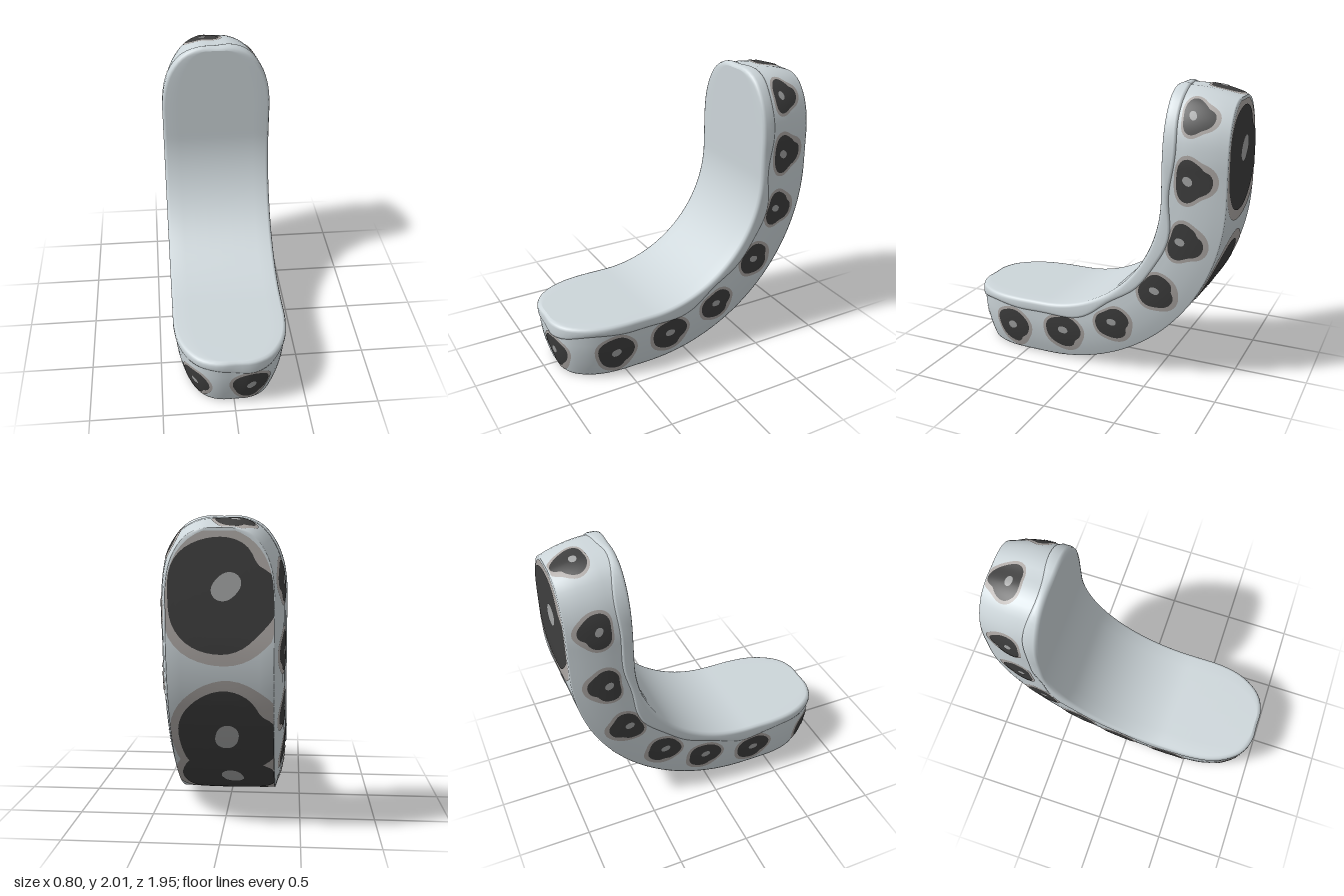
import * as THREE from 'three';
import { mergeGeometries, mergeVertices } from 'three/addons/utils/BufferGeometryUtils.js';

const material = (name, color) => new THREE.MeshStandardMaterial({ name, color });

// Lengthwise layout: flat seat, quarter bend, upright back
const SEAT = 0.65, BACK = 0.71, MID_R = 1.08, INNER_R = 0.87, DEPTH = 0.42;
const BEND = MID_R * Math.PI / 2, END = BEND + BACK, N = 160;

// Place a point: l along the seat, x across, d below the sitting surface
function bend(l, x, d) {
  const r = INNER_R + d, a = THREE.MathUtils.clamp(l / MID_R, 0, Math.PI / 2);
  const before = Math.min(l, 0), after = Math.max(l - BEND, 0);
  return new THREE.Vector3(x, 1.29 - r * Math.cos(a) + after, 0.32 - r * Math.sin(a) - before);
}

// Closed rounded outline of the unrolled seat, starting at the front centre
const corner = [[0, 0.12], [0.05, 0.24], [0.16, 0.33], [0.29, 0.38], [0.45, 0.4], [0.55, 0.4]];
const half = [
  ...corner.map(([e, x]) => [e - SEAT, x]), [0.4, 0.4], [1, 0.4], [1.5, 0.4],
  ...corner.slice().reverse().map(([e, x]) => [END - e, x]),
];
const loop = [[-SEAT, 0], ...half, [END, 0], ...half.slice().reverse().map(([l, x]) => [l, -x])];
const outline = new THREE.CatmullRomCurve3(loop.map(([l, x]) => new THREE.Vector3(l, x, 0)), true);
outline.arcLengthDivisions = 1000;
const PERIMETER = outline.getLength();

// Outline position t, drawn inwards by inset
function rim(t, inset, d) {
  const p = outline.getPointAt(((t % 1) + 1) % 1);
  const l = p.x + inset * (Math.max(0, 1 - (p.x + SEAT) / 0.45) - Math.max(0, 1 - (END - p.x) / 0.45));
  return bend(l, p.y * (1 - inset / 0.4), d);
}
const taper = d => 0.01 + 0.065 * Math.max(0, (d - 0.06) / 0.36) ** 2;

// Grid surface; its front is on the side of du x dv
function grid(nu, nv, fn) {
  const pos = [], index = [];
  for (let i = 0; i <= nu; i++) for (let j = 0; j <= nv; j++) pos.push(...fn(i / nu, j / nv).toArray());
  for (let i = 0; i < nu; i++) for (let j = 0; j < nv; j++) {
    const a = i * (nv + 1) + j, b = a + nv + 1;
    index.push(a, b, b + 1, a, b + 1, a + 1);
  }
  const g = new THREE.BufferGeometry();
  g.setAttribute('position', new THREE.Float32BufferAttribute(pos, 3));
  g.setIndex(index);
  return g;
}

function smooth(parts) {
  const g = mergeVertices(mergeGeometries(parts), 1e-4);
  g.computeVertexNormals();
  return g;
}

// Flat cap spanning the outline from side to side
const cap = (inset, d, sign) => grid(N / 2, 8, (u, v) => {
  const t = u / 2;
  return rim(sign * t, inset, d).lerp(rim(-sign * t, inset, d), 1 - v);
});

// Tapered shell
function shellGeometry() {
  const depths = [0.42, 0.41, 0.36, 0.3, 0.22, 0.14, 0.03];
  const side = grid(N, depths.length - 1, (t, v) => {
    const d = depths[Math.round(v * (depths.length - 1))];
    return rim(t, taper(d), d);
  });
  return smooth([side, cap(taper(DEPTH), DEPTH, 1)]);
}

// Soft pad with a wavy lower edge
function padGeometry() {
  const edge = t => 0.085 + 0.016 * Math.sin(14 * Math.PI * t + 1) + 0.01 * Math.sin(26 * Math.PI * t);
  const profile = t => [[0.025, edge(t)], [0.006, edge(t) - 0.004], [0, edge(t) - 0.02],
    [0, 0.025], [0.007, 0.007], [0.025, 0]];
  const side = grid(N, 5, (t, v) => rim(t, ...profile(t)[Math.round(v * 5)]));
  return smooth([side, cap(0.025, 0, -1)]);
}

// Surfaces that carry the spots
const sideSurface = (u, v) => {
  const d = THREE.MathUtils.clamp(-v, 0.08, 0.412);
  return rim(u / PERIMETER, taper(d), d);
};
const underSurface = (u, v) => {
  const l = THREE.MathUtils.clamp(u, -SEAT + 0.09, END - 0.09);
  const e = Math.min(l + SEAT - 0.075, END - 0.075 - l);
  const w = 0.324 * Math.sqrt(1 - Math.pow(1 - Math.min(1, e / 0.45), 2.6));
  return bend(l, THREE.MathUtils.clamp(v, -w, w), DEPTH);
};

// Thin blob that follows a surface, lifted slightly along its normal
function blob(surface, cu, cv, ru, rv, shape, lift) {
  const h = 0.004;
  return grid(8, 48, (r, a) => {
    const th = a * Math.PI * 2, R = r * shape(th);
    const u = cu + ru * R * Math.cos(th), v = cv + rv * R * Math.sin(th);
    // Sample the normal slightly towards the centre so clamped rims stay valid
    const nu = cu + 0.6 * (u - cu), nv = cv + 0.6 * (v - cv);
    const du = surface(nu + h, nv).sub(surface(nu - h, nv));
    const dv = surface(nu, nv + h).sub(surface(nu, nv - h));
    return surface(u, v).addScaledVector(du.cross(dv).normalize(), lift);
  });
}

// Side spots, from the front round to the back and home again:
// distance along the outline, depth, half length, half height, lobe strength
const sideSpots = [
  [0.12, 0.243, 0.135, 0.128, 0.05], [0.62, 0.232, 0.138, 0.135, 0.03], [1.045, 0.208, 0.138, 0.122, 0.05],
  [1.455, 0.207, 0.128, 0.112, 0.06], [1.89, 0.197, 0.125, 0.118, 0.06], [2.31, 0.203, 0.125, 0.11, 0.13],
  [2.73, 0.207, 0.132, 0.115, 0.13], [3.155, 0.21, 0.12, 0.1, 0.13], [3.64, 0.285, 0.13, 0.11, 0.1],
  [4.18, 0.235, 0.13, 0.105, 0.08], [4.62, 0.21, 0.13, 0.105, 0.1], [5.04, 0.21, 0.125, 0.11, 0.1],
  [5.46, 0.207, 0.125, 0.115, 0.06], [5.83, 0.21, 0.128, 0.115, 0.06], [6.24, 0.225, 0.13, 0.12, 0.05],
  [6.78, 0.25, 0.125, 0.12, 0.04],
];
// Under and back spots: length position, x, half length, half width, centre position, centre x
const bigSpots = [
  [-0.19, -0.02, 0.31, 0.31, -0.19, 0.01], [0.7, -0.02, 0.32, 0.32, 0.71, -0.045],
  [1.09, -0.04, 0.31, 0.33, 1.11, -0.03], [1.94, -0.01, 0.34, 0.34, 1.99, -0.04],
];

export function createModel() {
  const group = new THREE.Group();
  const shellMat = material('paleGrey', 0xcdd6da);
  const add = (name, geometry, mat) => {
    const mesh = new THREE.Mesh(geometry, mat);
    mesh.name = name;
    group.add(mesh);
  };
  add('shell', shellGeometry(), shellMat);
  add('seatPad', padGeometry(), shellMat);

  // Flower spots: halo, dark petals with one notch, pale centre
  const halos = [], petals = [], centres = [];
  const spot = (surface, [u, v, ru, rv], [cu, cv], lobe, k) => {
    const soft = th => 1 + lobe * Math.cos(3 * (th + Math.PI / 2)) + 0.02 * Math.sin(5 * th + k);
    const notched = th => soft(th) - 0.13 * Math.exp(-25 * (1 - Math.cos(th + 0.9)));
    halos.push(blob(surface, u, v - 0.06 * rv, ru * 1.18, rv * 1.22, soft, 0.003));
    petals.push(blob(surface, u, v, ru, rv, notched, 0.006));
    centres.push(blob(surface, cu, cv, ru * 0.24, rv * 0.26, th => 1 + 0.15 * Math.sin(2 * th + k), 0.009));
  };
  sideSpots.forEach(([u, d, ru, rv, lobe], i) =>
    spot(sideSurface, [u, -d, ru, rv], [u, -d + 0.03 * Math.min(1, lobe * 8)], lobe, i));
  bigSpots.forEach(([l, x, rl, rx, cl, cx], i) => spot(underSurface, [l, x, rl, rx], [cl, cx], 0.04, i));

  add('spotHalos', smooth(halos), material('warmGrey', 0xaea9a6));
  add('spotPetals', smooth(petals), material('charcoal', 0x3e3e3e));
  add('spotCentres', smooth(centres), material('midGrey', 0xa4a5a5));
  return group;
}
